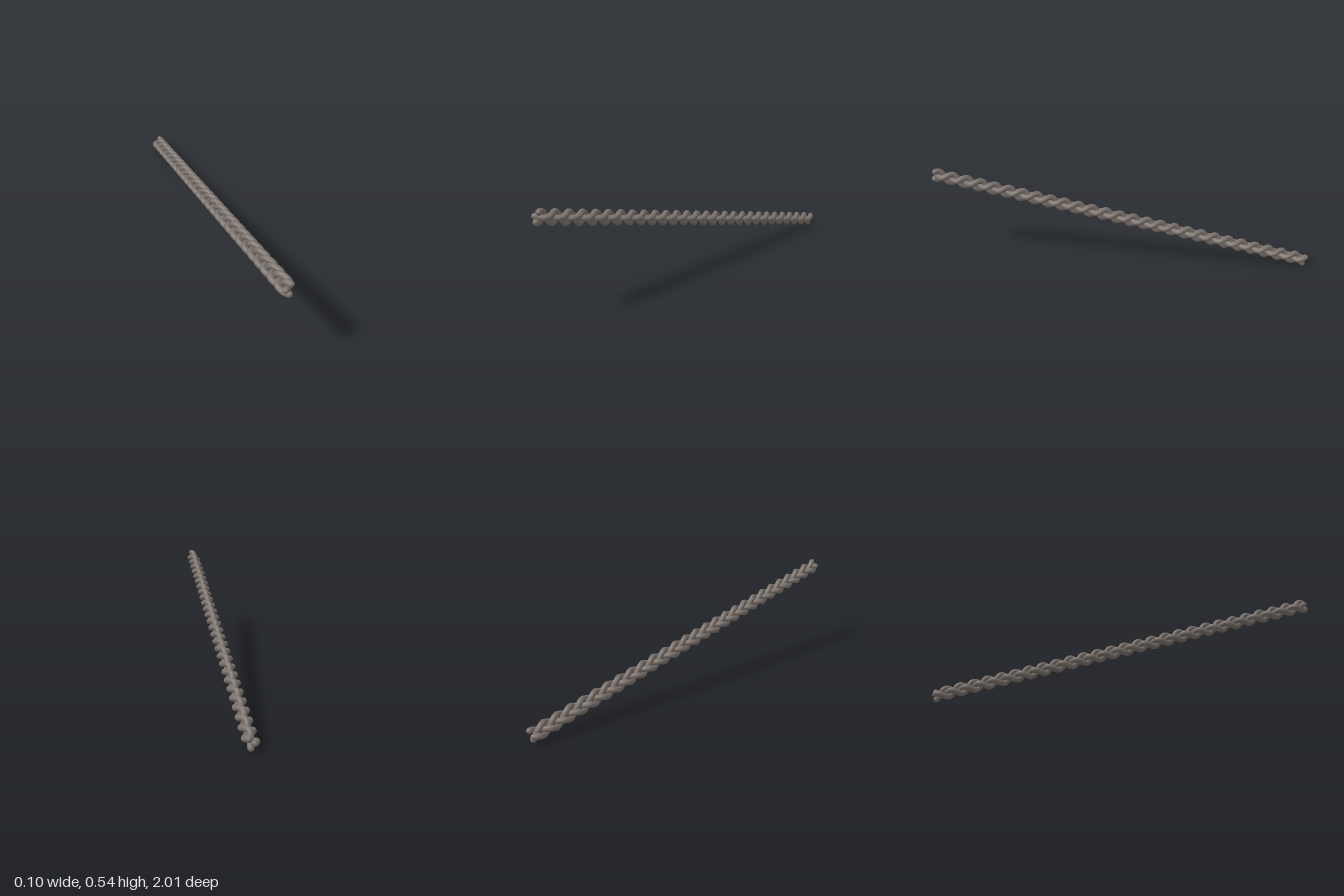
import * as THREE from 'three';

const RADIUS = 0.015;   // strand thickness
const WIDE = 0.026;     // half swing across the braid
const DEEP = 0.0165;    // half swing through the braid
const TURNS = 9;        // full weaves along the length
const ROLL = THREE.MathUtils.degToRad(50);

// Figure-eight weave carried along a sloping axis
class BraidStrand extends THREE.Curve {
  constructor(phase) {
    super();
    this.phase = phase;
    this.start = new THREE.Vector3(0.010, 0.042, -0.983);
    this.end = new THREE.Vector3(-0.012, 0.503, 0.983);
    const side = new THREE.Vector3(1, 0, 0);
    const up = this.end.clone().sub(this.start).cross(side).normalize();
    this.across = side.clone().multiplyScalar(Math.cos(ROLL)).addScaledVector(up, Math.sin(ROLL));
    this.through = side.clone().multiplyScalar(-Math.sin(ROLL)).addScaledVector(up, Math.cos(ROLL));
  }
  getPoint(s, target = new THREE.Vector3()) {
    const t = this.phase + s * TURNS * Math.PI * 2;
    return target.lerpVectors(this.start, this.end, s)
      .addScaledVector(this.across, WIDE * Math.sin(t))
      .addScaledVector(this.through, DEEP * Math.sin(2 * t));
  }
}

export function createModel() {
  const group = new THREE.Group();
  group.name = 'braid';
  const cord = new THREE.MeshStandardMaterial({ color: 0x7a716b });
  cord.name = 'warm grey cord';

  for (let i = 0; i < 3; i++) {
    const strand = new THREE.Group();
    strand.name = `strand${i + 1}`;
    const curve = new BraidStrand(THREE.MathUtils.degToRad(80 + 120 * i));
    curve.arcLengthDivisions = 800;

    // Woven length
    const tube = new THREE.Mesh(new THREE.TubeGeometry(curve, 320, RADIUS, 14, false), cord);
    tube.name = 'cord';
    strand.add(tube);

    // Rounded tips
    for (const s of [0, 1]) {
      const tip = new THREE.Mesh(new THREE.SphereGeometry(RADIUS, 14, 10), cord);
      tip.name = 'cordTip';
      tip.position.copy(curve.getPoint(s));
      strand.add(tip);
    }
    group.add(strand);
  }
  return group;
}
